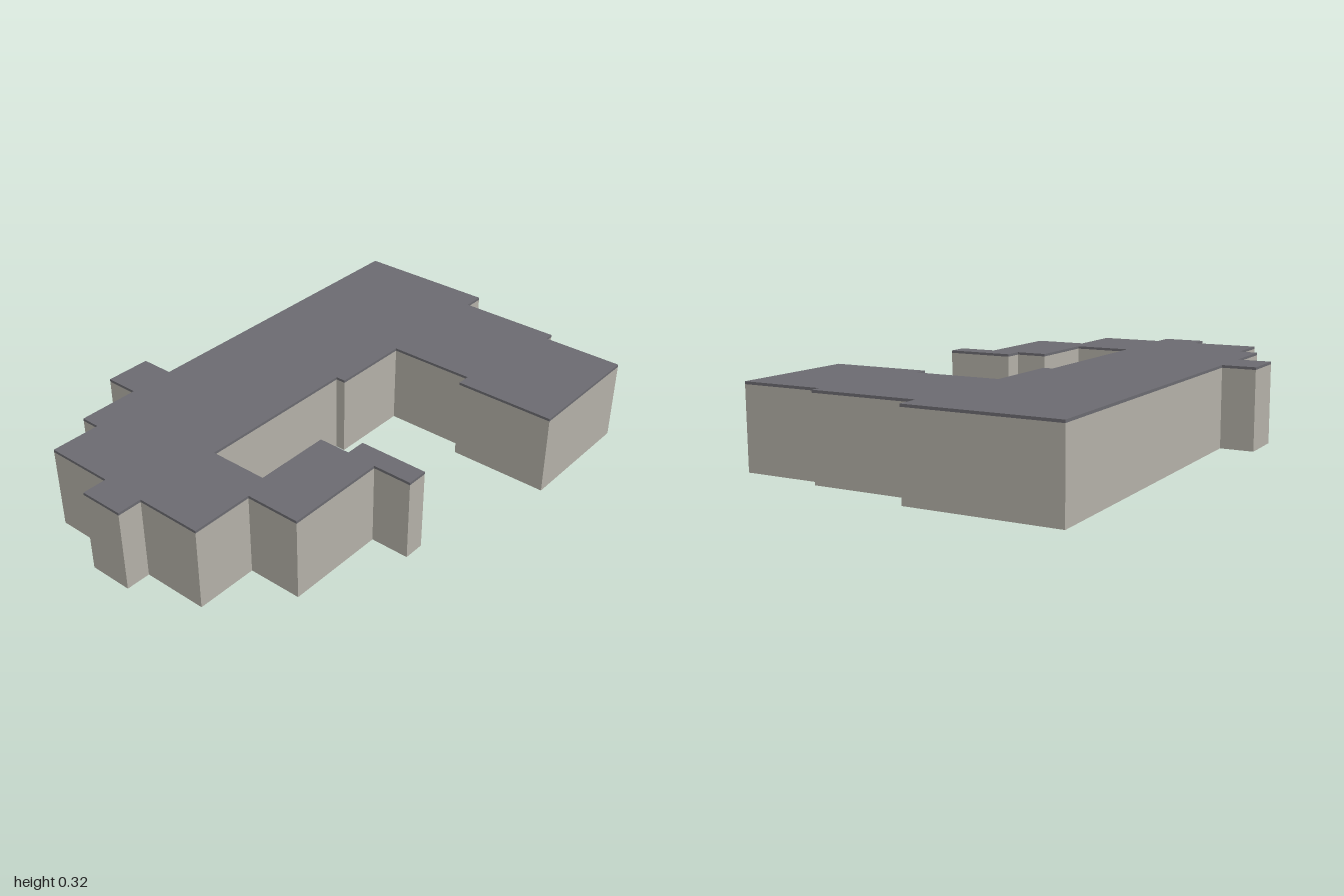
import * as THREE from 'three';

// Building footprint as [x, z] corners
const FOOTPRINT = [
  // rear wing
  [-0.588, -1], [-0.02, -1], [-0.02, -0.915], [0.39, -0.915], [0.39, -0.877], [0.712, -0.877],
  [0.712, -0.37], [0.318, -0.37], [0.318, -0.422], [-0.025, -0.422],
  // courtyard side
  [-0.025, -0.1], [-0.064, -0.1], [-0.064, 0.56], [0.165, 0.56],
  // front wing
  [0.165, 0.26], [0.29, 0.26], [0.29, 0.182], [0.56, 0.182], [0.56, 0.265], [0.408, 0.265],
  [0.408, 0.663], [0.197, 0.663], [0.197, 0.905], [-0.058, 0.905], [-0.058, 1], [-0.23, 1],
  [-0.23, 0.905], [-0.502, 0.905], [-0.502, 0.71], [-0.578, 0.71],
  // side bay
  [-0.58, 0.467], [-0.714, 0.467], [-0.714, 0.285], [-0.582, 0.285],
];

const HEIGHT = 0.32;
const ROOF = 0.01;

export function createModel() {
  const wall = new THREE.MeshStandardMaterial({ color: 0xb3b0a7 });
  wall.name = 'warm grey wall';
  const roofing = new THREE.MeshStandardMaterial({ color: 0x6b6a70 });
  roofing.name = 'dark grey roof';

  const shape = new THREE.Shape(FOOTPRINT.map(([x, z]) => new THREE.Vector2(x, -z)));
  const model = new THREE.Group();
  model.name = 'building';

  // Upright slab of the footprint between two heights
  const addSlab = (name, bottom, top, material) => {
    const geometry = new THREE.ExtrudeGeometry(shape, { depth: top - bottom, bevelEnabled: false });
    geometry.rotateX(-Math.PI / 2).translate(0, bottom, 0);
    const mesh = new THREE.Mesh(geometry, material);
    mesh.name = name;
    model.add(mesh);
  };

  addSlab('walls', 0, HEIGHT - ROOF, wall);
  addSlab('roof', HEIGHT - ROOF, HEIGHT, roofing);
  return model;
}
